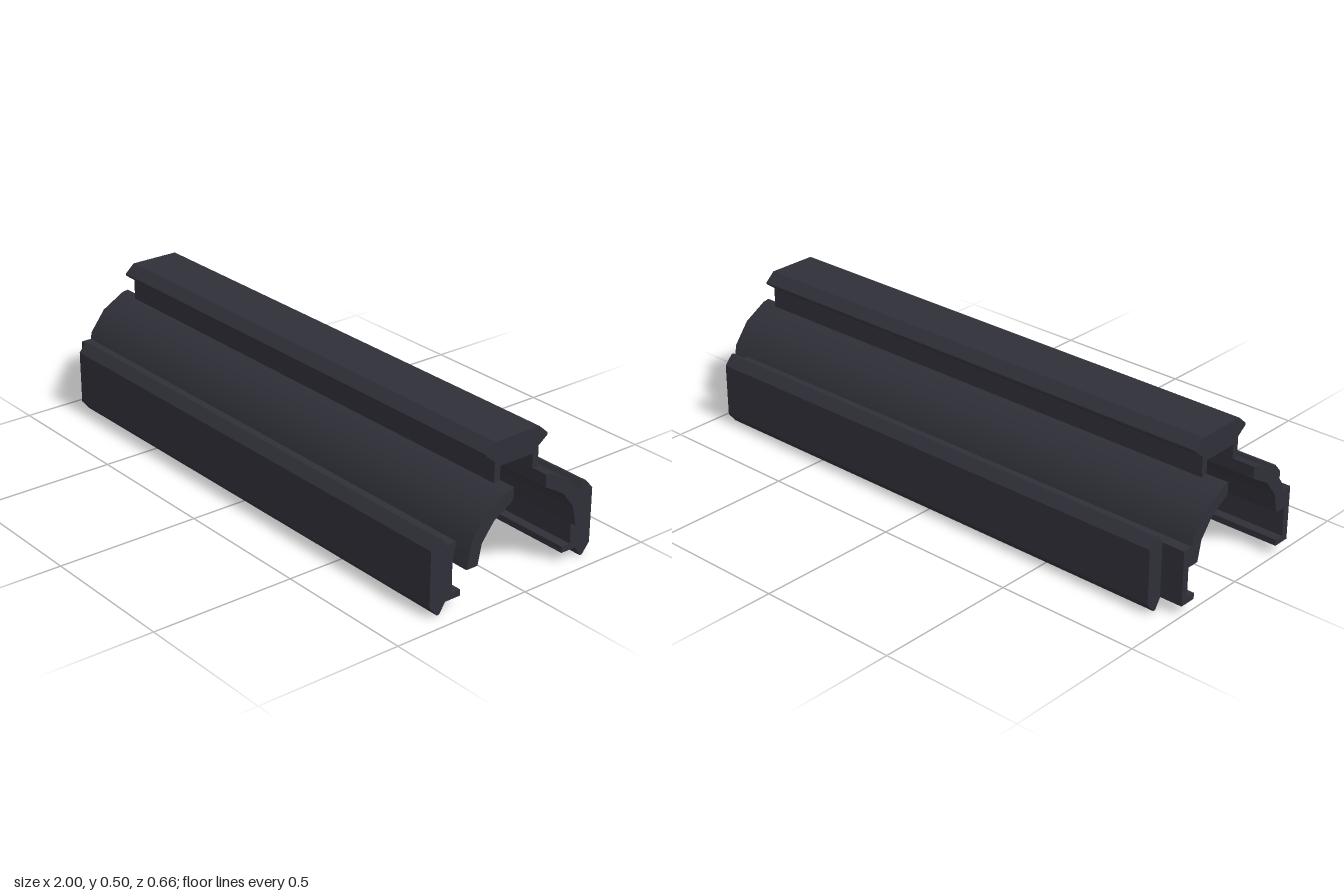
import * as THREE from 'three';
import { toCreasedNormals } from 'three/addons/utils/BufferGeometryUtils.js';

// Extrude a [z, y] cross-section along x from x0 to x1; side = -1 mirrors it across z.
function extrudeAlongX(profile, x0, x1, side = 1) {
  const shape = new THREE.Shape(profile.map(([z, y]) => new THREE.Vector2(-z * side, y)));
  const geometry = new THREE.ExtrudeGeometry(shape, { depth: x1 - x0, bevelEnabled: false });
  geometry.rotateY(Math.PI / 2);
  geometry.translate(x0, 0, 0);
  return geometry;
}

export function createModel() {
  const model = new THREE.Group();
  model.name = 'railedHandguard';
  const darkMetal = new THREE.MeshStandardMaterial({ color: 0x2f2f38 });
  darkMetal.name = 'darkMetal';

  const add = (name, geometry) => {
    const mesh = new THREE.Mesh(geometry, darkMetal);
    mesh.name = name;
    model.add(mesh);
  };

  // Top rail: bevelled head on two legs with an open slot between them
  const halfTop = [
    [0.088, 0.5], [0.123, 0.469], [0.123, 0.463], [0.088, 0.437],
    [0.088, 0.367], [0.065, 0.371], [0.065, 0.417],
  ];
  const mirrored = halfTop.map(([z, y]) => [-z, y]).reverse();
  add('topRail', extrudeAlongX([...halfTop, ...mirrored], -0.92, 0.94));

  // Curved shell wall
  const shell = [
    [0.243, 0.158], [0.225, 0.248], [0.17, 0.32], [0.088, 0.367], [0.065, 0.371],
    [0.065, 0.33], [0.14, 0.285], [0.185, 0.227], [0.2, 0.158],
  ];
  // Inner web with a small inward foot
  const web = [
    [0.268, 0.223], [0.23, 0.223], [0.243, 0.158], [0.243, 0.056],
    [0.209, 0.056], [0.209, 0.035], [0.268, 0.035],
  ];
  // Outer side rail with bevelled top and bottom lips
  const rail = [
    [0.328, 0.035], [0.328, 0.223], [0.299, 0.256], [0.29, 0.256],
    [0.268, 0.223], [0.268, 0.035], [0.29, 0], [0.299, 0],
  ];

  for (const [label, side] of [['front', 1], ['back', -1]]) {
    add(label + 'Shell', toCreasedNormals(extrudeAlongX(shell, -1, 1, side), 0.6));
    add(label + 'Web', extrudeAlongX(web, -1, 0.94, side));
    add(label + 'SideRail', extrudeAlongX(rail, -0.92, 0.94, side));
  }
  return model;
}
